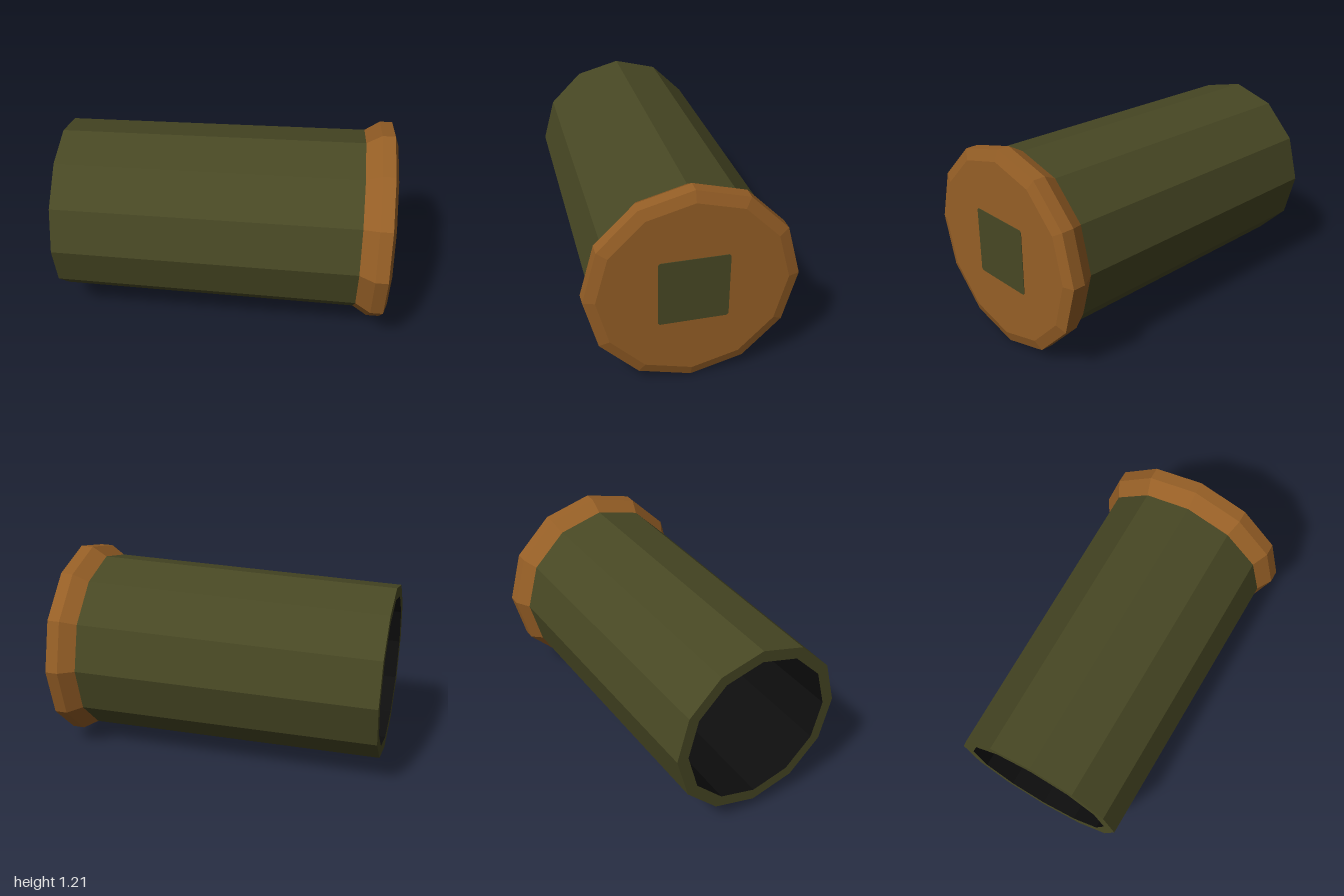
import * as THREE from 'three';

const SIDES = 12;
const CENTRE_Y = 0.605;

function material(name, color) {
  const m = new THREE.MeshStandardMaterial({ color });
  m.name = name;
  return m;
}

// Faceted solid of revolution; profile points are [radius, position along x]
function turned(name, profile, mat) {
  const points = profile.map(([r, x]) => new THREE.Vector2(r, x));
  const geometry = new THREE.LatheGeometry(points, SIDES).toNonIndexed();
  geometry.rotateZ(-Math.PI / 2);
  geometry.computeVertexNormals();
  const mesh = new THREE.Mesh(geometry, mat);
  mesh.name = name;
  return mesh;
}

export function createModel() {
  const green = material('olive green', 0x484824);
  const brass = material('brass', 0x965f26);
  const black = material('bore black', 0x0e0e0e);

  const casing = new THREE.Group();
  casing.name = 'casing';
  casing.position.y = CENTRE_Y;

  // Slightly tapered tube with an open mouth
  casing.add(turned('body', [[0.455, -1], [0.525, -1], [0.55, 0.81]], green));
  casing.add(turned('bore', [[0, 0.8], [0.455, 0.8], [0.455, -1]], black));

  // Flared base with a bevelled edge and flat end
  casing.add(turned('base', [[0.55, 0.81], [0.605, 0.9], [0.605, 0.975], [0.54, 0.997], [0, 0.997]], brass));

  // Square plate with clipped corners in the middle of the base
  const h = 0.2, c = 0.19;
  const outline = [[-c, -h], [c, -h], [h, -c], [h, c], [c, h], [-c, h], [-h, c], [-h, -c]];
  const shape = new THREE.Shape(outline.map(([x, y]) => new THREE.Vector2(x, y)));
  const plate = new THREE.ExtrudeGeometry(shape, { depth: 0.005, bevelEnabled: false });
  plate.rotateY(Math.PI / 2);
  const primer = new THREE.Mesh(plate, green);
  primer.name = 'primer';
  primer.position.x = 0.995;
  casing.add(primer);

  const model = new THREE.Group();
  model.name = 'shellCasing';
  model.add(casing);
  return model;
}
